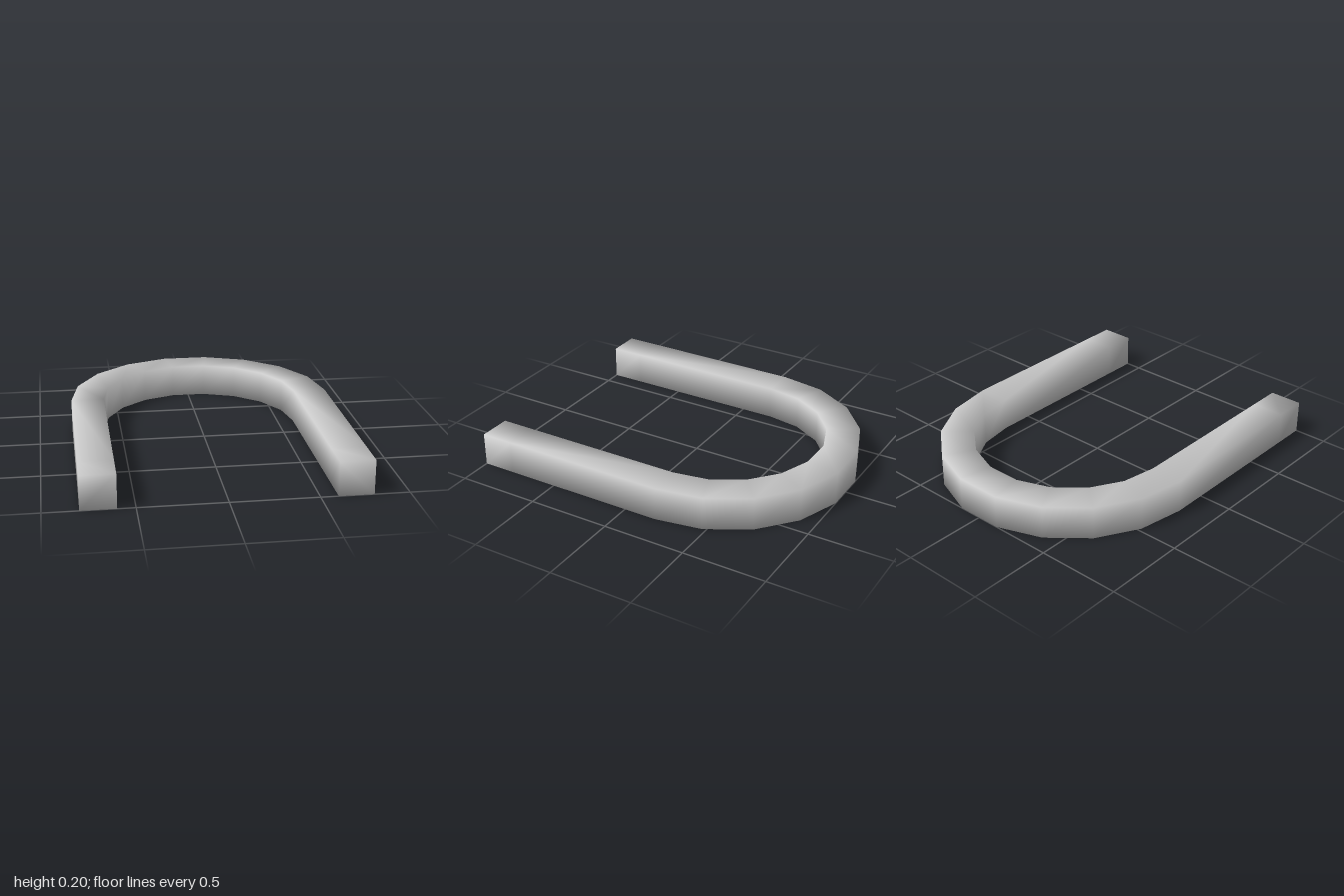
import * as THREE from 'three';

const HEIGHT = 0.2;
const ARC_STEPS = 9;
const BEND_Z = -0.2; // where the straight legs meet the bend

// Stations along the U: cos/sin place a point on the bend, z is its base line
function stations() {
  const list = [1, 0.8].map((z) => ({ c: 1, s: 0, z }));
  for (let i = 0; i <= ARC_STEPS; i++) {
    const a = (i / ARC_STEPS) * Math.PI;
    list.push({ c: Math.cos(a), s: Math.sin(a), z: BEND_Z });
  }
  [0.8, 1].forEach((z) => list.push({ c: -1, s: 0, z }));
  return list;
}

// Square section swept along the U, with vertices shared for soft shading
function squareBarGeometry() {
  const rings = stations();
  const pos = [];
  const index = [];
  for (const { c, s, z } of rings) {
    const outer = [0.8 * c, z - 0.812 * s];
    const inner = [0.6 * c, z - 0.609 * s];
    pos.push(outer[0], 0, outer[1], outer[0], HEIGHT, outer[1]);
    pos.push(inner[0], HEIGHT, inner[1], inner[0], 0, inner[1]);
  }
  for (let i = 0; i < rings.length - 1; i++) {
    for (let j = 0; j < 4; j++) {
      const a = i * 4 + j;
      const b = i * 4 + ((j + 1) % 4);
      index.push(a, a + 4, b + 4, a, b + 4, b);
    }
  }
  // End caps
  const e = (rings.length - 1) * 4;
  index.push(0, 1, 2, 0, 2, 3, e, e + 2, e + 1, e, e + 3, e + 2);

  const geometry = new THREE.BufferGeometry();
  geometry.setAttribute('position', new THREE.Float32BufferAttribute(pos, 3));
  geometry.setIndex(index);
  geometry.computeVertexNormals();
  return geometry;
}

export function createModel() {
  const group = new THREE.Group();
  group.name = 'uShapedBar';
  const bar = new THREE.Mesh(
    squareBarGeometry(),
    new THREE.MeshStandardMaterial({ color: 0xcccccc })
  );
  bar.name = 'bentBar';
  group.add(bar);
  return group;
}
